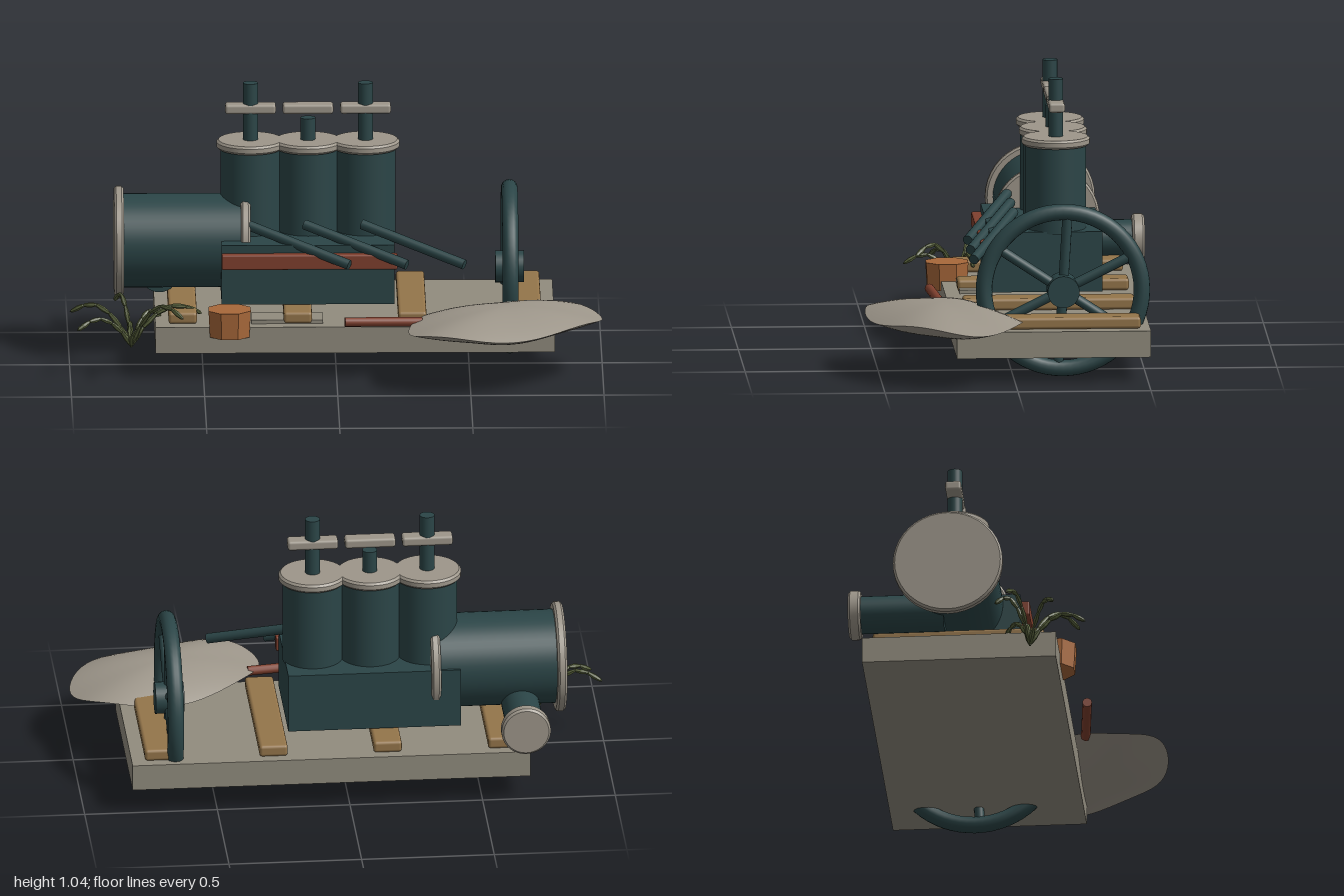
import * as THREE from 'three';
import { toCreasedNormals } from 'three/addons/utils/BufferGeometryUtils.js';
import { RoundedBoxGeometry } from 'three/addons/geometries/RoundedBoxGeometry.js';

const mat = (name, color, extra = {}) => {
  const m = new THREE.MeshStandardMaterial({ color, ...extra });
  m.name = name;
  return m;
};

export function createModel() {
  const root = new THREE.Group();
  root.name = 'oldEngine';
  const stone = mat('stone', 0x918c7e);
  const pale = mat('paleMetal', 0x9d968a);
  const teal = mat('darkTeal', 0x2b4547);
  const wood = mat('wood', 0x94754a);
  const red = mat('rustRed', 0x80402e);
  const orange = mat('copperOrange', 0xa8683a, { flatShading: true });
  const leaf = mat('leafGreen', 0x565f3a, { flatShading: true });

  const add = (name, geo, material, x = 0, y = 0, z = 0, parent = root) => {
    const m = new THREE.Mesh(geo, material);
    m.name = name;
    m.position.set(x, y, z);
    parent.add(m);
    return m;
  };
  // box with softened edges
  const slab = (name, w, h, d, x, y, z, material, r = 0.008) =>
    add(name, new RoundedBoxGeometry(w, h, d, 2, r), material, x, y, z);
  // cylinder between two points
  const rod = (name, a, b, r, material, parent = root, sides = 24) => {
    const p = new THREE.Vector3(...a), q = new THREE.Vector3(...b);
    const dir = q.clone().sub(p);
    const m = add(name, new THREE.CylinderGeometry(r, r, dir.length(), sides), material, 0, 0, 0, parent);
    m.position.copy(p).add(q).multiplyScalar(0.5);
    m.quaternion.setFromUnitVectors(new THREE.Vector3(0, 1, 0), dir.normalize());
    return m;
  };
  // flange disc with bevelled rims, axis along y
  const flangeGeo = (r, h, b = 0.008) => toCreasedNormals(new THREE.LatheGeometry([
    [0, -h / 2], [r - b, -h / 2], [r, -h / 2 + b], [r, h / 2 - b], [r - b, h / 2], [0, h / 2],
  ].map(p => new THREE.Vector2(...p)), 40), 0.5);

  // base slab, loose plate and planks
  add('baseSlab', new THREE.BoxGeometry(1.5, 0.1, 0.73), stone, 0.07, 0.15, -0.145);
  add('loosePlate', new THREE.BoxGeometry(0.27, 0.014, 0.12), stone, -0.185, 0.207, 0.105);
  for (const x of [-0.577, -0.145, 0.285, 0.717])
    slab('plank', 0.107, 0.045, 0.645, x, 0.2225, -0.152, wood, 0.012);

  // engine block and side board
  add('engineBlock', new THREE.BoxGeometry(0.65, 0.228, 0.425), teal, -0.105, 0.364, -0.146);
  slab('sideBoard', 0.66, 0.057, 0.04, -0.1, 0.42, 0.082, red, 0.006);

  // three upright cylinders with caps, valve stems, rocker bars and exhaust pipes
  [-0.318, -0.102, 0.114].forEach((x, i) => {
    const z = -0.188, top = i === 1 ? 0.91 : 1.045;
    rod('cylinder', [x, 0.47, z], [x, 0.8, z], 0.113, teal, root, 40);
    add('cylinderCap', flangeGeo(0.128, 0.033), pale, x, 0.81, z);
    rod('valveStem', [x, 0.82, z], [x, top, z], 0.028, teal);
    slab('rockerBar', 0.19, 0.037, 0.06, x, 0.947, z, pale, 0.01);
    rod('exhaustPipe', [x - 0.015, 0.535, -0.03], [x + 0.367, 0.42, 0.14], 0.019, teal, root, 16);
  });

  // horizontal boiler drum with end flanges
  rod('drum', [-0.8, 0.44, -0.175], [-0.34, 0.44, -0.175], 0.177, teal, root, 48);
  for (const [x, r] of [[-0.813, 0.207], [-0.338, 0.2]])
    add('drumFlange', flangeGeo(r, 0.036), pale, x, 0.438, -0.176).rotation.z = Math.PI / 2;

  // outlet pipe at the back of the drum
  rod('outletPipe', [-0.66, 0.303, -0.2], [-0.66, 0.303, -0.52], 0.071, teal, root, 32);
  add('outletFlange', flangeGeo(0.093, 0.047), pale, -0.66, 0.303, -0.536).rotation.x = Math.PI / 2;

  // spoked flywheel turning about x
  const wheel = new THREE.Group();
  wheel.name = 'flywheel';
  wheel.position.set(0.655, 0.331, -0.187);
  root.add(wheel);
  add('wheelRim', new THREE.TorusGeometry(0.297, 0.031, 14, 64), teal, 0, 0, 0, wheel).rotation.y = Math.PI / 2;
  rod('wheelHub', [-0.054, 0, 0], [0.054, 0, 0], 0.06, teal, wheel, 28);
  for (let i = 0; i < 6; i++) {
    const a = i * Math.PI / 3 + 0.06;
    rod('wheelSpoke', [0, 0, 0], [0, 0.29 * Math.cos(a), -0.29 * Math.sin(a)], 0.019, teal, wheel, 12);
  }

  // lens-shaped boulder with a wavy rim
  const rock = new THREE.SphereGeometry(1, 56, 32);
  const p = rock.attributes.position;
  for (let i = 0; i < p.count; i++) {
    const x = p.getX(i), z = p.getZ(i), r2 = Math.min(1, x * x + z * z);
    const wave = 0.012 * r2 * Math.cos(4 * Math.atan2(z, x) + 2.2);
    p.setXYZ(i, x * 0.39, Math.sign(p.getY(i)) * 0.065 * (1 - r2) + wave, z * 0.257);
  }
  const boulder = add('boulder', toCreasedNormals(rock, 0.6), pale, 0.633, 0.225, 0.26);
  boulder.rotation.y = 0.48;

  // bucket and loose rod in front of the base
  const bucket = add('bucket', new THREE.CylinderGeometry(0.086, 0.08, 0.102, 8), orange, -0.402, 0.214, 0.195);
  bucket.rotation.y = Math.PI / 8;
  rod('looseRod', [0.03, 0.235, 0.283], [0.32, 0.228, 0.255], 0.018, red, root, 12);

  // plant: arching stems of beaded leaves
  const plant = new THREE.Group();
  plant.name = 'plant';
  plant.position.set(-0.77, 0.11, 0.13);
  root.add(plant);
  const tips = [[-0.2, 0.1], [-0.225, -0.07], [-0.06, -0.125], [0.11, -0.1], [0.26, -0.04], [0.19, 0.17], [-0.01, 0.205]];
  tips.forEach(([x, z], i) => {
    const h = 0.12 + 0.03 * (i % 3);
    const curve = new THREE.CatmullRomCurve3([
      [0, 0, 0], [x * 0.3, h * 0.7, z * 0.3], [x * 0.65, h, z * 0.65], [x, h - 0.035, z],
    ].map(v => new THREE.Vector3(...v)));
    const pts = curve.getPoints(5);
    for (let k = 0; k < 5; k++) {
      const dir = pts[k + 1].clone().sub(pts[k]);
      const bead = add('leaf', new THREE.SphereGeometry(1, 6, 4), leaf, 0, 0, 0, plant);
      bead.scale.set(0.01, dir.length() * 0.62, 0.01);
      bead.position.copy(pts[k]).add(pts[k + 1]).multiplyScalar(0.5);
      bead.quaternion.setFromUnitVectors(new THREE.Vector3(0, 1, 0), dir.normalize());
    }
  });
  return root;
}
